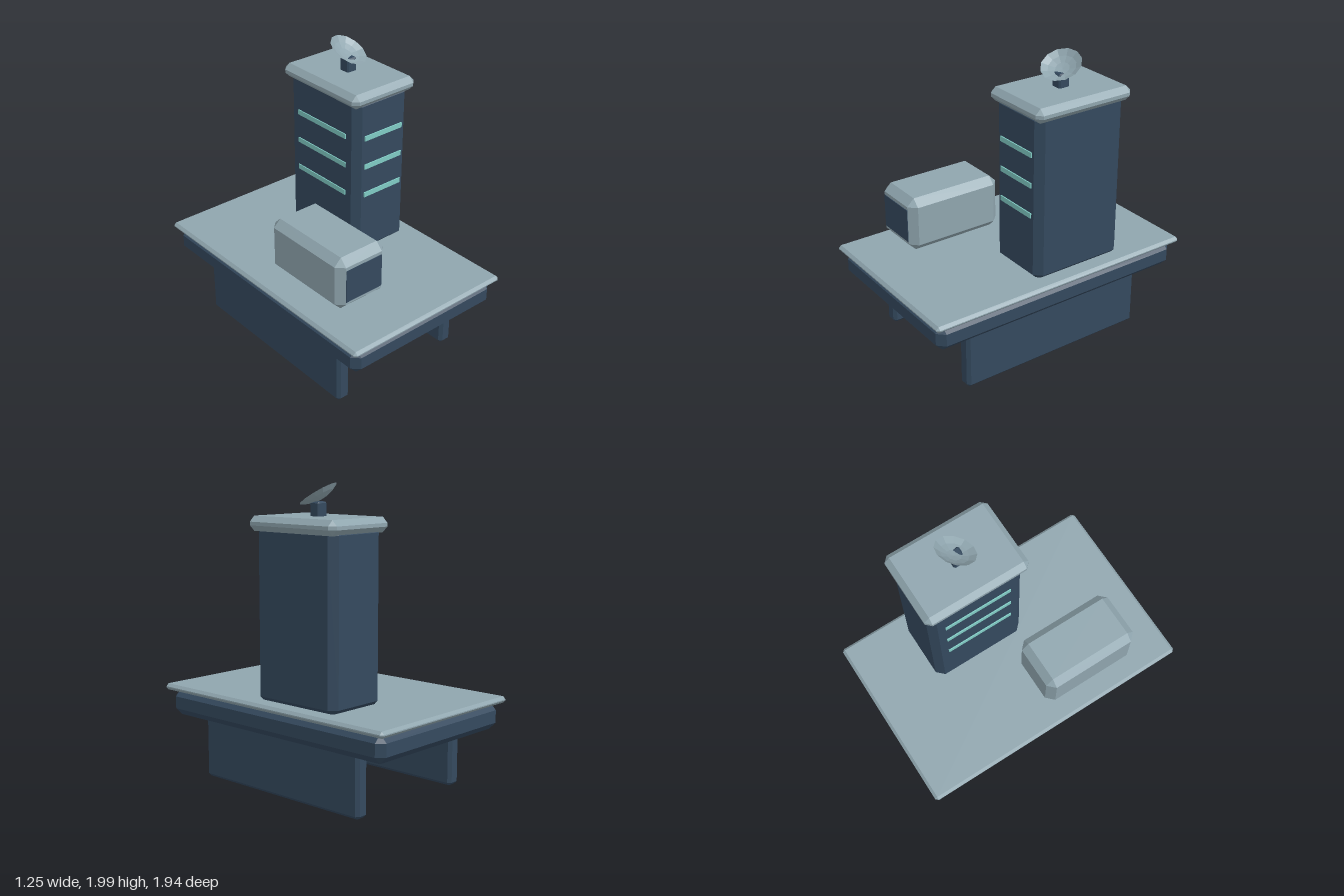
import * as THREE from 'three';
import { ConvexGeometry } from 'three/addons/geometries/ConvexGeometry.js';

const mat = (color, extra = {}) => new THREE.MeshStandardMaterial({ color, ...extra });

// Box between min and max corners with all edges cut at 45 degrees by c
function chamferBox([x0, y0, z0], [x1, y1, z1], c) {
  const h = [(x1 - x0) / 2, (y1 - y0) / 2, (z1 - z0) / 2];
  const points = [];
  for (let axis = 0; axis < 3; axis++) {
    for (const sx of [-1, 1]) for (const sy of [-1, 1]) for (const sz of [-1, 1]) {
      const p = [sx, sy, sz].map((s, i) => s * (i === axis ? h[i] : h[i] - c));
      points.push(new THREE.Vector3(...p));
    }
  }
  return new ConvexGeometry(points).translate((x0 + x1) / 2, (y0 + y1) / 2, (z0 + z1) / 2);
}

export function createModel() {
  const group = new THREE.Group();
  const dark = mat(0x34495e, { flatShading: true });
  const light = mat(0x8fa5ae, { flatShading: true });
  const glow = mat(0x80cbc4);

  const add = (name, geometry, material) => {
    const mesh = new THREE.Mesh(geometry, material);
    mesh.name = name;
    group.add(mesh);
    return mesh;
  };
  const block = (name, min, max, c, material) => add(name, chamferBox(min, max, c), material);

  // Two long support skids
  for (const [name, x] of [['rightSkid', -0.46], ['leftSkid', 0.46]]) {
    block(name, [x - 0.049, 0, -0.683], [x + 0.049, 0.45, 0.683], 0.021, dark);
  }

  // Platform: thick base and thin deck
  block('platformBase', [-0.597, 0.404, -0.937], [0.597, 0.583, 0.937], 0.048, dark);
  block('deck', [-0.627, 0.577, -0.968], [0.627, 0.62, 0.968], 0.018, light);

  // Tower with overhanging roof
  const tx = 0.305, tz = -0.17;
  block('tower', [tx - 0.228, 0.597, tz - 0.338], [tx + 0.228, 1.742, tz + 0.338], 0.048, dark);
  block('towerRoof', [tx - 0.264, 1.693, tz - 0.366], [tx + 0.264, 1.788, tz + 0.366], 0.036, light);

  // Light strips on the front and on the right side of the tower
  for (const y of [1.057, 1.263, 1.468]) {
    add('frontLightStrip', new THREE.BoxGeometry(0.318, 0.034, 0.02), glow)
      .position.set(tx, y, tz + 0.336);
    add('sideLightStrip', new THREE.BoxGeometry(0.02, 0.034, 0.476), glow)
      .position.set(tx - 0.225, y, tz);
  }

  // Hovering pod with a front window
  block('pod', [-0.503, 0.688, 0], [-0.115, 1.058, 0.683], 0.05, light);
  add('podWindow', new THREE.BoxGeometry(0.286, 0.228, 0.02), dark).position.set(-0.309, 0.871, 0.677);

  // Mast and tilted shallow dish
  block('mast', [tx - 0.043, 1.76, tz - 0.04], [tx + 0.037, 1.878, tz + 0.04], 0.01, dark);
  const rim = 0.133, depth = 0.04, R = (rim * rim + depth * depth) / (2 * depth);
  const angle = Math.asin(rim / R);
  const bowl = new THREE.SphereGeometry(R, 12, 3, 0, Math.PI * 2, Math.PI - angle, angle)
    .translate(0, R - depth, 0);
  const dish = add('dish', bowl, mat(0x8fa5ae, { flatShading: true, side: THREE.DoubleSide }));
  dish.position.set(0.302, 1.926, tz);
  dish.quaternion.setFromUnitVectors(
    new THREE.Vector3(0, 1, 0), new THREE.Vector3(0.21, 0.854, 0.476).normalize());

  return group;
}
